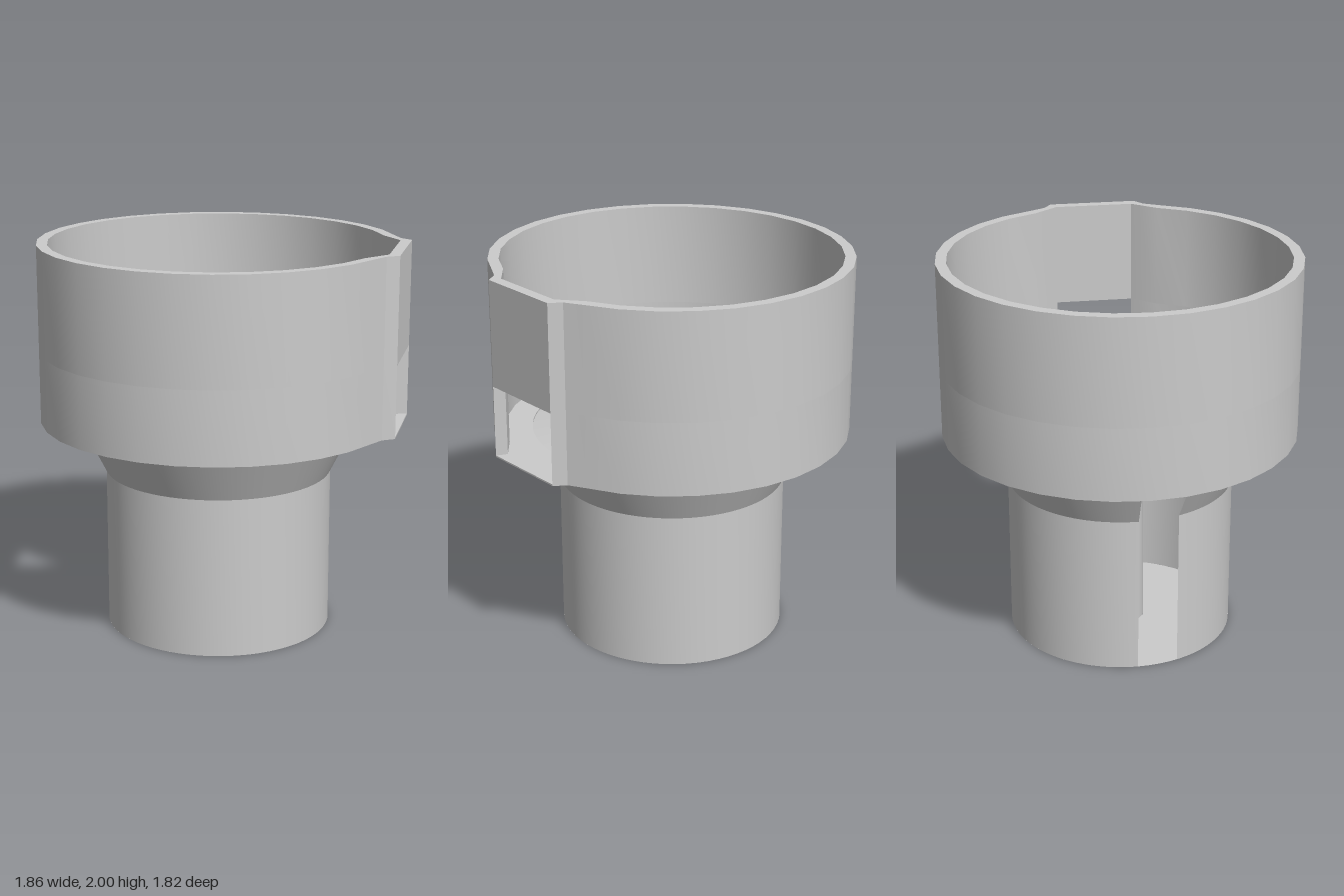
import * as THREE from 'three';
import { toCreasedNormals } from 'three/addons/utils/BufferGeometryUtils.js';

const CX = -0.02; // axis of the round parts
const FLOOR = 1.09, WINDOW_TOP = 1.46, TOP = 2;
const material = new THREE.MeshStandardMaterial({ color: 0xcccccc, side: THREE.DoubleSide });

function add(group, name, geometry) {
  const mesh = new THREE.Mesh(geometry, material);
  mesh.name = name;
  group.add(mesh);
  return mesh;
}

// Band between two rings [radius, y, gapFrom, gapTo]; the gap is in degrees from -x towards +z
function band(lower, upper, segments = 64) {
  const positions = [], index = [];
  for (let i = 0; i <= segments; i++) {
    for (const [r, y, from, to] of [lower, upper]) {
      const a = THREE.MathUtils.degToRad(to + (360 + from - to) * i / segments);
      positions.push(CX - r * Math.cos(a), y, r * Math.sin(a));
    }
    if (i < segments) {
      const k = 2 * i;
      index.push(k, k + 2, k + 1, k + 1, k + 2, k + 3);
    }
  }
  const g = new THREE.BufferGeometry();
  g.setAttribute('position', new THREE.Float32BufferAttribute(positions, 3));
  g.setIndex(index);
  g.computeVertexNormals();
  return g;
}

// Outline of the cup wall, running round from one side of the flat panel to the other
function outline(radius, shoulder, panel) {
  const points = [panel, shoulder].map(([x, y]) => new THREE.Vector2(x, y));
  for (let i = 2; i <= 30; i++) {
    const a = i * Math.PI / 16;
    points.push(new THREE.Vector2(CX + radius * Math.cos(a), radius * Math.sin(a)));
  }
  points.push(...[shoulder, panel].map(([x, y]) => new THREE.Vector2(x, -y)));
  return points;
}

function extrudeUp(shape, y0, y1) {
  const g = new THREE.ExtrudeGeometry(shape, { depth: y1 - y0, bevelEnabled: false, curveSegments: 32 });
  g.rotateX(-Math.PI / 2).translate(0, y0, 0);
  return toCreasedNormals(g, 0.35);
}

export function createModel() {
  const model = new THREE.Group();
  model.name = 'cupOnStem';

  // Cup wall: a closed ring above, an open one beside the window
  const outer = outline(0.91, [0.865, 0.268], [0.925, 0.228]);
  const inner = outline(0.855, [0.845, 0.235], [0.87, 0.205]);
  const ring = new THREE.Shape(outer);
  ring.holes.push(new THREE.Path(inner));
  add(model, 'upperCupWall', extrudeUp(ring, WINDOW_TOP, TOP));
  const openRing = new THREE.Shape([...outer, ...inner.slice().reverse()]);
  add(model, 'lowerCupWall', extrudeUp(openRing, FLOOR, WINDOW_TOP));

  // Flat floor ring under the cup
  const floor = new THREE.Shape(outer);
  floor.holes.push(new THREE.Path().absarc(CX, 0, 0.715, 0, Math.PI * 2, true));
  add(model, 'cupFloor', extrudeUp(floor, FLOOR, FLOOR + 0.008));

  // Stem and flared neck, with a narrow slot on one side
  add(model, 'stem', band([0.58, 0, 0, 21], [0.58, 0.82, 0, 21]));
  add(model, 'neck', band([0.58, 0.82, 0, 21], [0.715, FLOOR, 0, 21]));
  const base = add(model, 'stemBase', new THREE.RingGeometry(0.125, 0.58, 64).rotateX(Math.PI / 2));
  base.position.x = CX;

  // Raised inner floor and hub, which the slot runs into
  add(model, 'innerFloor', band([0.715, FLOOR, 0, 21], [0.25, 1.16, -9, 32]));
  add(model, 'hubWall', band([0.25, 1.16, -25, 40], [0.245, 1.38, -43, 66]));
  add(model, 'hubTop', band([0.245, 1.38, -43, 66], [0.115, 1.38, -45, 72]));

  // Central bore with its end wall
  const bore = add(model, 'bore', new THREE.CylinderGeometry(0.115, 0.125, 1.38, 32, 1, true));
  bore.position.set(CX, 0.69, 0);
  const end = add(model, 'boreEnd', new THREE.CircleGeometry(0.118, 32).rotateX(-Math.PI / 2));
  end.position.set(CX, 1.09, 0);

  return model;
}
